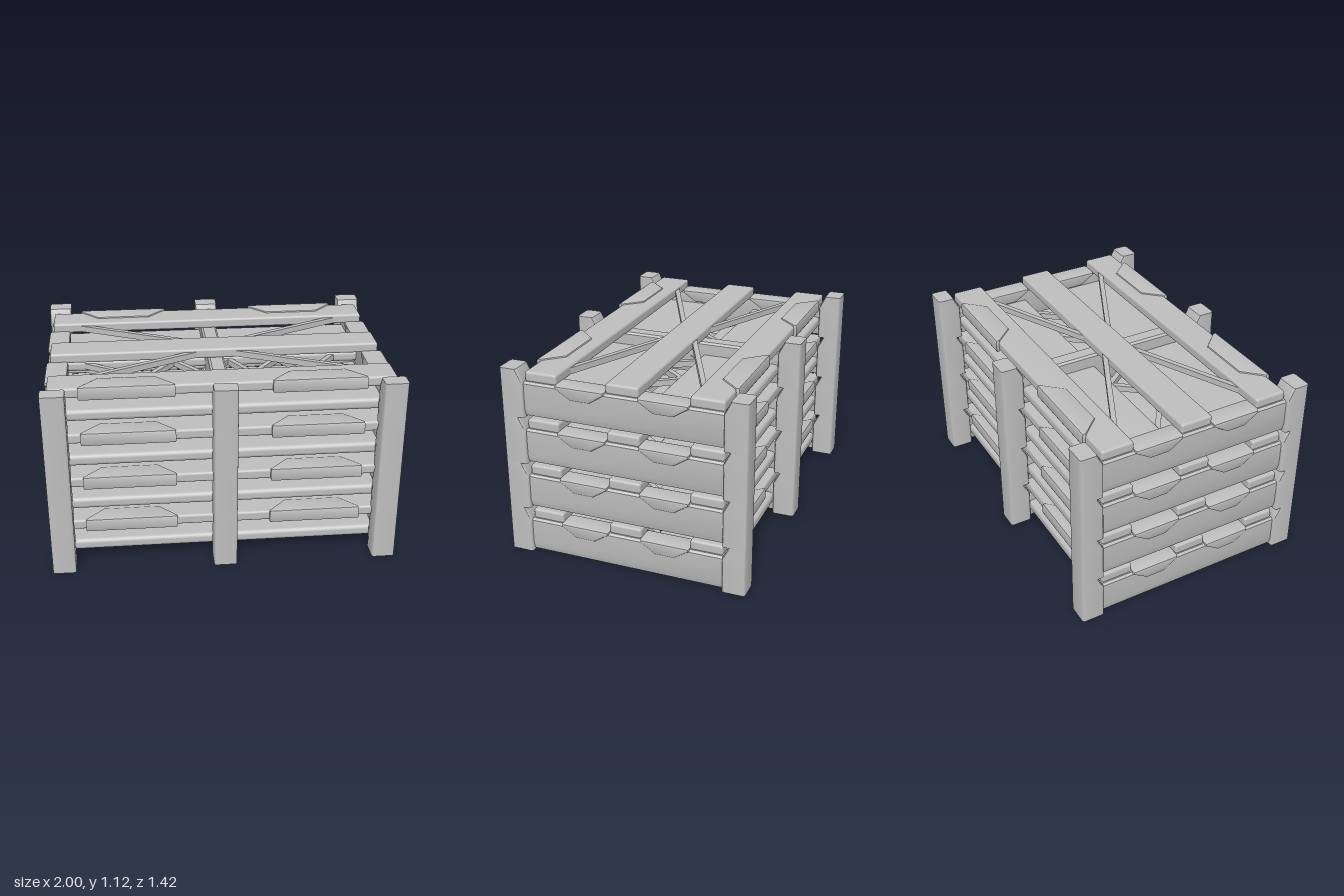
import * as THREE from 'three';
import { toCreasedNormals } from 'three/addons/utils/BufferGeometryUtils.js';
import { RoundedBoxGeometry } from 'three/addons/geometries/RoundedBoxGeometry.js';

const LAYERS = 4, PITCH = 0.28;

// Prism centred on z, with softened edges that stay inside the outline
function prism(points, depth, bevel = 0.012) {
  const shape = new THREE.Shape(points.map(([x, y]) => new THREE.Vector2(x, y)));
  const g = new THREE.ExtrudeGeometry(shape, {
    depth: depth - 2 * bevel, bevelEnabled: bevel > 0, bevelThickness: bevel,
    bevelSize: bevel, bevelOffset: -bevel, bevelSegments: 2,
  });
  return g.translate(0, 0, bevel - depth / 2);
}

// Post section with rounded corners; its inner face leans back near the top
function postGeometry() {
  const w = 0.067, r = 0.016, s = new THREE.Shape();
  s.moveTo(-w + r, -w);
  s.lineTo(w - r, -w).quadraticCurveTo(w, -w, w, -w + r);
  s.lineTo(w, w - r).quadraticCurveTo(w, w, w - r, w);
  s.lineTo(-w + r, w).quadraticCurveTo(-w, w, -w, w - r);
  s.lineTo(-w, -w + r).quadraticCurveTo(-w, -w, -w + r, -w);
  const g = new THREE.ExtrudeGeometry(s, { depth: PITCH, steps: 4, curveSegments: 3, bevelEnabled: false });
  g.rotateX(-Math.PI / 2);
  const p = g.attributes.position;
  for (let i = 0; i < p.count; i++) {
    if (p.getY(i) > PITCH - 0.01 && p.getZ(i) < 0) p.setZ(i, p.getZ(i) + 0.036);
  }
  return toCreasedNormals(g, 0.6);
}

export function createModel() {
  const model = new THREE.Group();
  model.name = 'stackedPallets';
  const grey = new THREE.MeshStandardMaterial({ color: 0xbebebe });
  grey.name = 'grey';

  const post = postGeometry();
  const topPlank = new RoundedBoxGeometry(1.94, 0.06, 0.19, 2, 0.014);
  const deckBoard = new RoundedBoxGeometry(1.9, 0.068, 0.475, 2, 0.024);
  const beam = toCreasedNormals(prism([
    [-0.036, 0.01], [0.036, 0.01], [0.048, 0.05], [0.048, 0.197],
    [0.036, 0.209], [-0.036, 0.209], [-0.048, 0.197], [-0.048, 0.05],
  ], 1.15, 0), 0.5);
  const edgePad = toCreasedNormals(prism([
    [-0.265, -0.065], [0.265, -0.065], [0.265, -0.045], [0.16, 0.065], [-0.16, 0.065], [-0.265, -0.045],
  ], 0.08).rotateX(-Math.PI / 2), 0.6);
  const sidePad = toCreasedNormals(prism([
    [-0.057, 0.14], [0.057, 0.14], [0.144, 0.197], [0.144, 0.216], [-0.144, 0.216], [-0.144, 0.197],
  ], 0.13, 0.016).rotateY(Math.PI / 2), 0.6);

  const add = (parent, name, geometry, x, y, z, turn = 0) => {
    const m = new THREE.Mesh(geometry, grey);
    m.name = name;
    m.position.set(x, y, z);
    m.rotation.y = turn;
    parent.add(m);
  };
  // Straight bar between two points in plan
  const bar = (parent, name, x1, z1, x2, z2, y, h, w) => {
    const g = new THREE.BoxGeometry(Math.hypot(x2 - x1, z2 - z1), h, w);
    add(parent, name, g, (x1 + x2) / 2, y, (z1 + z2) / 2, -Math.atan2(z2 - z1, x2 - x1));
  };

  for (let i = 0; i < LAYERS; i++) {
    const layer = new THREE.Group();
    layer.name = `palletLayer${i + 1}`;
    layer.position.y = i * PITCH;
    model.add(layer);

    // Cross beams, each ending at a front and a back post
    for (const x of [-0.937, 0, 0.937]) add(layer, 'crossBeam', beam, x, 0, 0);
    for (const x of [-0.933, 0, 0.933]) {
      add(layer, 'frontPost', post, x, 0, 0.643);
      add(layer, 'backPost', post, x, 0, -0.643, Math.PI);
    }

    // Upper planks and the wide boards below them
    for (const z of [-0.478, 0, 0.478]) add(layer, 'topPlank', topPlank, 0, 0.235, z);
    for (const s of [-1, 1]) add(layer, 'deckBoard', deckBoard, 0, 0.097, s * 0.338);

    for (const sx of [-1, 1]) {
      for (const sz of [-1, 1]) {
        // Pads on the plank edges and on the end beams
        add(layer, 'edgePad', edgePad, sx * 0.535, 0.235, sz * 0.525, sz > 0 ? 0 : Math.PI);
        add(layer, 'sidePad', sidePad, sx * 0.931, 0, sz * 0.24);
        // Diagonal braces between middle and outer planks
        bar(layer, 'diagonalBrace', sx * 0.1, sz * 0.07, sx * 0.82, sz * 0.41, 0.23, 0.036, 0.03);
      }
    }

    // Zigzag struts across the gap between the deck boards
    const nodes = [-0.77, -0.42, -0.24, -0.06, 0.09, 0.22, 0.4, 0.55, 0.74];
    for (let k = 0; k < nodes.length - 1; k++) {
      const z = k % 2 ? 0.115 : -0.115;
      bar(layer, 'gapStrut', nodes[k], z, nodes[k + 1], -z, 0.097, 0.036, 0.03);
    }
  }
  return model;
}
